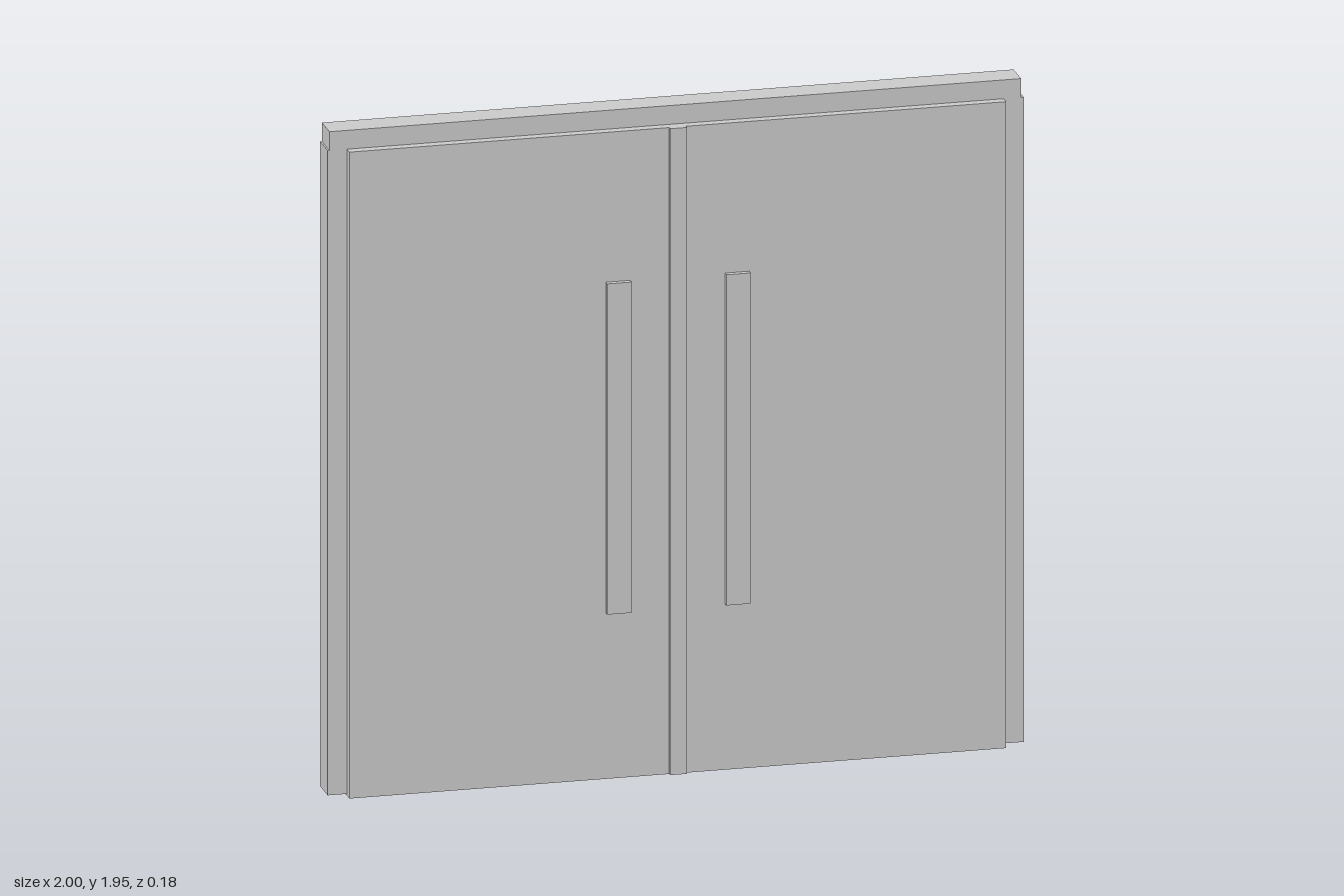
import * as THREE from 'three';

const material = new THREE.MeshStandardMaterial({ color: 0xcccccc, flatShading: true });

// Box given by its lower and upper limits on each axis
function block(name, [x0, x1], [y0, y1], [z0, z1]) {
  const mesh = new THREE.Mesh(new THREE.BoxGeometry(x1 - x0, y1 - y0, z1 - z0), material);
  mesh.name = name;
  mesh.position.set((x0 + x1) / 2, (y0 + y1) / 2, (z0 + z1) / 2);
  return mesh;
}

export function createModel() {
  const model = new THREE.Group();
  model.name = 'doubleDoor';
  const top = 1.89;
  const frameZ = [-0.042, 0.044];

  // Frame: two jambs and the lintel resting on them
  model.add(
    block('rightJamb', [-1, -0.945], [0.005, top], frameZ),
    block('leftJamb', [0.942, 1], [0.005, top], frameZ),
    block('lintel', [-0.995, 0.992], [top, 1.945], frameZ),
  );

  // Door slab, and the strip covering the meeting line at the front
  model.add(
    block('doorPanel', [-0.945, 0.942], [0, top], [-0.072, 0.072]),
    block('centreStrip', [-0.026, 0.022], [0, top], [0.072, 0.083]),
  );

  // Flat pull bars on both faces
  for (const [side, x] of [['right', [-0.208, -0.138]], ['left', [0.134, 0.204]]]) {
    model.add(
      block(side + 'FrontHandle', x, [0.485, 1.452], [0.072, 0.088]),
      block(side + 'BackHandle', x, [0.485, 1.452], [-0.088, -0.072]),
    );
  }
  return model;
}
